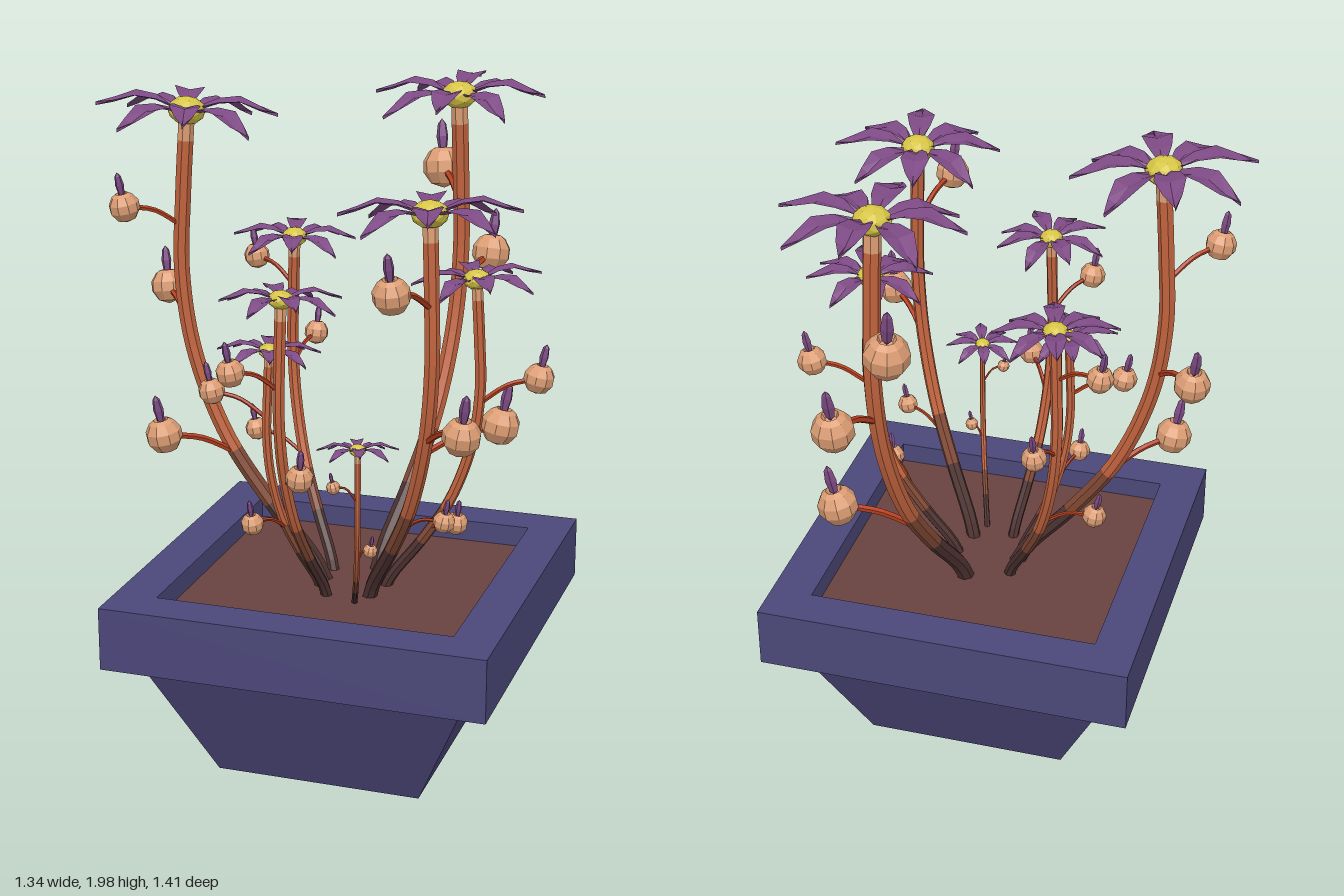
import * as THREE from 'three';

const V = (x, y, z) => new THREE.Vector3(x, y, z);
const UP = V(0, 1, 0);
const mat = (name, color, extra = {}) => {
  const m = new THREE.MeshStandardMaterial({ color, flatShading: true, ...extra });
  m.name = name;
  return m;
};

// head [x, y, z], base [x, z], stem radius, petal length, petal rotation, buds [x, y, z, radius]
const PLANTS = [
  { head: [0.25, 1.92, -0.41], base: [0.12, -0.01], r: 0.026, R: 0.265, rot: 0,
    buds: [[0.14, 1.66, -0.64, 0.066], [0.305, 1.395, -0.63, 0.062], [0.425, 0.925, -0.315, 0.062]] },
  { head: [-0.43, 1.92, 0.105], base: [0, 0.105], r: 0.024, R: 0.265, rot: 19,
    buds: [[-0.58, 1.66, 0.23, 0.046], [-0.57, 1.355, -0.06, 0.054], [-0.465, 0.98, 0.25, 0.056]] },
  { head: [0.40, 1.74, 0.435], base: [0.155, 0.19], r: 0.022, R: 0.25, rot: 14,
    buds: [[0.36, 1.575, 0.655, 0.053], [0.535, 1.18, 0.575, 0.055], [0.44, 0.86, 0.39, 0.032]] },
  { head: [0.44, 1.48, 0.075], base: [0.175, 0.1], r: 0.017, R: 0.19, rot: 26,
    buds: [[0.62, 1.195, 0.03, 0.046], [0.425, 0.785, 0.195, 0.034]] },
  { head: [-0.19, 1.51, -0.15], base: [0, 0.035], r: 0.018, R: 0.185, rot: 16,
    buds: [[-0.34, 1.43, -0.225, 0.04], [-0.17, 1.18, -0.295, 0.038], [-0.31, 0.9, -0.125, 0.036]] },
  { head: [-0.015, 1.48, 0.465], base: [0.04, 0.22], r: 0.017, R: 0.175, rot: 33,
    buds: [[-0.115, 1.305, 0.6, 0.041], [0.075, 1.01, 0.575, 0.04]] },
  { head: [-0.13, 1.265, 0.25], base: [0, 0.16], r: 0.014, R: 0.15, rot: 20,
    buds: [[-0.3, 1.14, 0.275, 0.04], [-0.137, 0.785, 0.385, 0.034]] },
  { head: [0.21, 1.07, 0.47], base: [0.13, 0.245], r: 0.009, R: 0.115, rot: 20,
    buds: [[0.155, 0.975, 0.52, 0.02], [0.245, 0.775, 0.46, 0.021]] },
];

// [height fraction, outward fraction]: stems sweep out, then stand upright
const SWEEP = [[0, 0], [0.06, 0.1], [0.18, 0.43], [0.32, 0.75], [0.5, 0.98], [0.67, 1.06], [0.83, 1.04], [1, 1]];

// [distance, half width, height] along a petal of unit length
const PETAL = [[0.12, 0.04, 0.08], [0.35, 0.13, 0.16], [0.58, 0.17, 0.18], [0.8, 0.1, 0.09], [1, 0.002, 0.03]];

function petalGeometry(length) {
  const pos = [], idx = [];
  PETAL.forEach(([d, w, y], i) => {
    for (const s of [-1, 0, 1]) pos.push(s * w * length, (y - (s ? 0 : 0.04)) * length, d * length);
    if (i === 0) return;
    for (let k = 0; k < 2; k++) {
      const a = (i - 1) * 3 + k, b = a + 3;
      idx.push(a, b, a + 1, a + 1, b, b + 1);
    }
  });
  const g = new THREE.BufferGeometry();
  g.setAttribute('position', new THREE.Float32BufferAttribute(pos, 3));
  g.setIndex(idx);
  g.computeVertexNormals();
  return g;
}

// round bud with a hollow at the top, unit radius
function budGeometry() {
  const pts = [[0, -1], [0.62, -0.78], [0.97, -0.25], [0.97, 0.28], [0.68, 0.74], [0.4, 0.92], [0.28, 0.62], [0, 0.5]];
  return new THREE.LatheGeometry(pts.map(p => new THREE.Vector2(...p)), 9);
}

export function createModel() {
  const model = new THREE.Group();
  model.name = 'pottedFlowers';
  const M = {
    pot: mat('pot blue', 0x4b4779),
    soil: mat('soil brown', 0x68423f),
    root: mat('stem base dark brown', 0x4c3230),
    lower: mat('lower stem brown', 0x804834),
    stem: mat('stem orange', 0xc0633e),
    peach: mat('bud peach', 0xdc9d74),
    branch: mat('branch red', 0xb8401f),
    petal: mat('petal purple', 0x7d4a84, { side: THREE.DoubleSide }),
    yellow: mat('flower yellow', 0xd6c546),
  };
  const add = (parent, name, geo, material, at = [0, 0, 0]) => {
    const m = new THREE.Mesh(geo, material);
    m.name = name;
    m.position.set(...at);
    parent.add(m);
    return m;
  };

  // pot: tapered square body, overhanging rim and soil
  const pot = new THREE.Group();
  pot.name = 'pot';
  pot.position.set(0.073, 0, 0.11);
  model.add(pot);
  const body = new THREE.CylinderGeometry(0.49 * Math.SQRT2, 0.312 * Math.SQRT2, 0.4, 4);
  body.rotateY(Math.PI / 4);
  add(pot, 'potBody', body, M.pot, [0, 0.2, 0]);
  const square = (s, Type) => new Type([[-s, -s], [s, -s], [s, s], [-s, s]].map(p => new THREE.Vector2(...p)));
  const rimShape = square(0.573, THREE.Shape);
  rimShape.holes.push(square(0.445, THREE.Path));
  const rim = new THREE.ExtrudeGeometry(rimShape, { depth: 0.19, bevelEnabled: false });
  rim.rotateX(-Math.PI / 2);
  add(pot, 'potRim', rim, M.pot, [0, 0.4, 0]);
  add(pot, 'soil', new THREE.BoxGeometry(0.9, 0.12, 0.9), M.soil, [0, 0.465, 0]);

  const budGeo = budGeometry();
  for (const p of PLANTS) {
    const plant = new THREE.Group();
    plant.name = 'flowerPlant';
    model.add(plant);
    const [hx, hy, hz] = p.head, [bx, bz] = p.base, by = 0.5;
    const path = new THREE.CatmullRomCurve3(SWEEP.map(([h, s]) =>
      V(bx + (hx - bx) * s, by + (hy - by) * h, bz + (hz - bz) * s)));

    // stem, coloured in bands from soil to flower
    const n = 40, sides = 7;
    const tube = new THREE.TubeGeometry(path, n, p.r, sides);
    const bands = [0, 8, 13, 38, n];
    for (let i = 0; i < 4; i++) tube.addGroup(bands[i] * sides * 6, (bands[i + 1] - bands[i]) * sides * 6, i);
    add(plant, 'stem', tube, [M.root, M.lower, M.stem, M.peach]);

    // flower head, leaning with the end of the stem
    const flower = new THREE.Group();
    flower.name = 'flower';
    flower.position.set(hx, hy, hz);
    flower.quaternion.setFromUnitVectors(UP, path.getTangent(1));
    plant.add(flower);
    const heart = add(flower, 'flowerHeart', new THREE.IcosahedronGeometry(p.R * 0.21, 1), M.yellow, [0, p.R * 0.04, 0]);
    heart.scale.y = 0.75;
    const petalGeo = petalGeometry(p.R);
    for (let i = 0; i < 8; i++) {
      const petal = add(flower, 'petal', petalGeo, M.petal);
      petal.rotation.y = Math.PI / 2 + THREE.MathUtils.degToRad(p.rot + i * 45);
      petal.rotation.order = 'YXZ';
      petal.rotation.x = i % 2 ? 0.1 : -0.04;
    }

    // buds on thin curved branches
    for (const [x, y, z, r] of p.buds) {
      const end = V(x, y, z);
      const startY = y - 0.03 - r;
      let start = path.getPoint(0);
      for (let t = 0; t <= 1; t += 0.01) {
        const q = path.getPoint(t);
        if (Math.abs(q.y - startY) < Math.abs(start.y - startY)) start = q;
      }
      const out = V(end.x - start.x, 0, end.z - start.z).normalize();
      const mid = start.clone().lerp(end, 0.5).add(V(0, 0.02, 0));
      const branch = new THREE.CatmullRomCurve3([start, mid, end]);
      add(plant, 'budBranch', new THREE.TubeGeometry(branch, 8, r * 0.17, 5), M.branch);
      const bud = new THREE.Group();
      bud.name = 'bud';
      bud.position.copy(end);
      bud.scale.setScalar(r);
      bud.quaternion.setFromUnitVectors(UP, V(out.x * 0.2, 1, out.z * 0.2).normalize());
      plant.add(bud);
      add(bud, 'budBall', budGeo, M.peach);
      const sprout = add(bud, 'budSprout', new THREE.SphereGeometry(1, 5, 4), M.petal, [0, 1.45, 0]);
      sprout.scale.set(0.3, 0.85, 0.24);
    }
  }
  return model;
}
